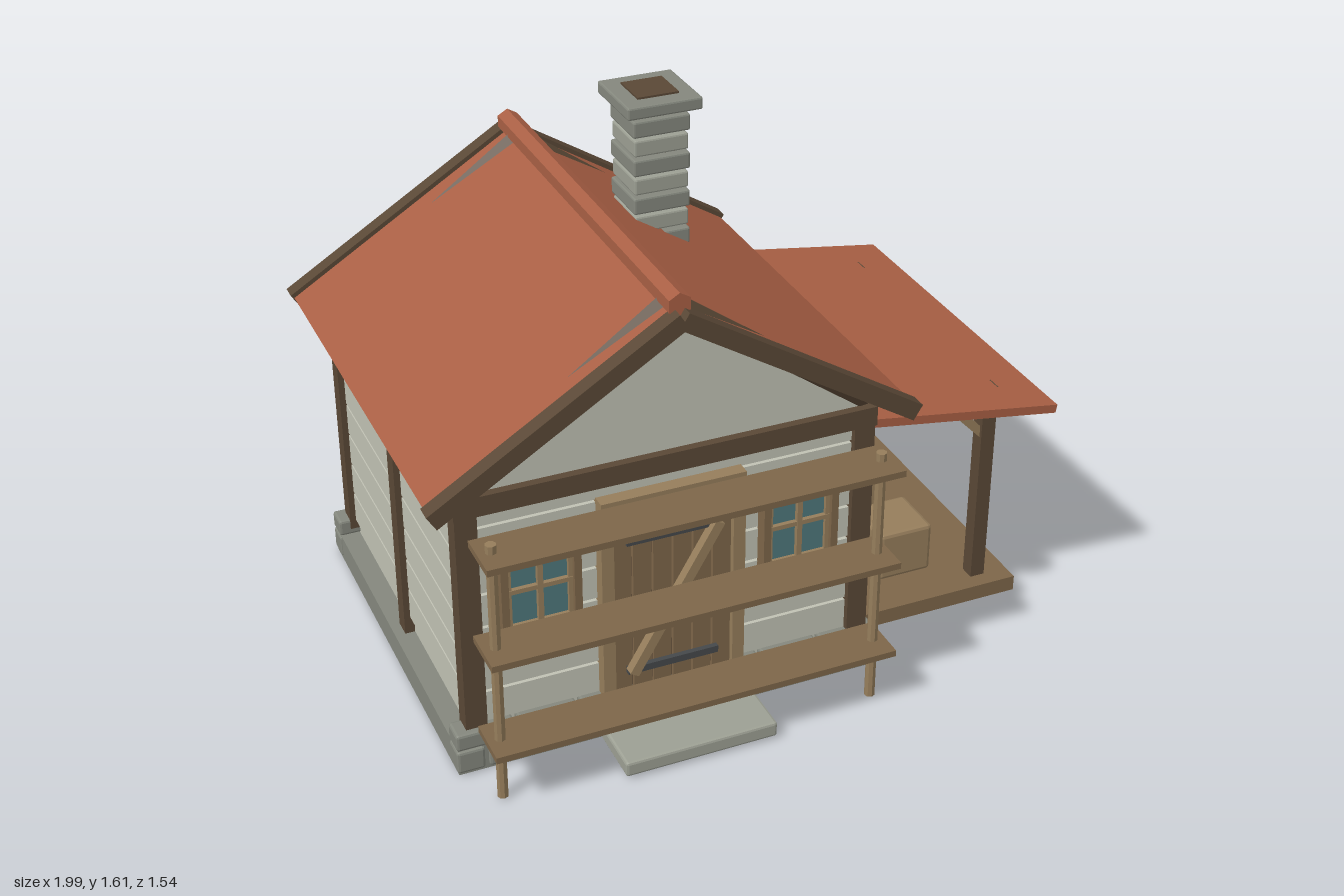
import * as THREE from 'three';
import { RoundedBoxGeometry } from 'three/addons/geometries/RoundedBoxGeometry.js';

const mat = (color) => new THREE.MeshStandardMaterial({ color, flatShading: true });
const M = {
  roof: mat(0xa85f44), dark: mat(0x5a4836), wood: mat(0x7d6649), tan: mat(0x957d5b),
  wall: mat(0xc0c1b3), stone: mat(0x84877d), pale: mat(0x9c9f93), iron: mat(0x45484a),
  glass: mat(0x4f777c),
};
const CX = -0.265, CZ = -0.065; // centre of the cabin

export function createModel() {
  const root = new THREE.Group();

  const add = (parent, name, geo, material, x = 0, y = 0, z = 0) => {
    const m = new THREE.Mesh(geo, material);
    m.name = name;
    m.position.set(x, y, z);
    parent.add(m);
    return m;
  };
  // Box given by its limits on each axis; bevel > 0 softens the edges
  const box = (parent, name, material, x0, x1, y0, y1, z0, z1, bevel = 0) => {
    const s = [x1 - x0, y1 - y0, z1 - z0];
    const g = bevel ? new RoundedBoxGeometry(...s, 1, bevel) : new THREE.BoxGeometry(...s);
    return add(parent, name, g, material, (x0 + x1) / 2, (y0 + y1) / 2, (z0 + z1) / 2);
  };
  // Bar between two points of an xy plane, with thickness t and depth d along z
  const bar = (parent, name, material, [x0, y0], [x1, y1], t, d, z) => {
    const g = new THREE.BoxGeometry(Math.hypot(x1 - x0, y1 - y0), t, d);
    const m = add(parent, name, g, material, (x0 + x1) / 2, (y0 + y1) / 2, z);
    m.rotation.z = Math.atan2(y1 - y0, x1 - x0);
    return m;
  };
  const group = (name) => {
    const g = new THREE.Group();
    g.name = name;
    root.add(g);
    return g;
  };

  // Foundation slab, with two staggered stone rows at front and back
  const base = group('foundation');
  box(base, 'slab', M.stone, -0.925, 0.395, 0, 0.085, -0.69, 0.555);
  for (const z of [0.527, -0.66]) {
    for (let i = 0; i < 7; i++) {
      const x = -0.93 + i * 0.19;
      box(base, 'upperStone', M.stone, x, x + 0.178, 0.088, 0.142, z - 0.038, z + 0.038, 0.008);
    }
    for (let i = 0; i < 8; i++) {
      const x0 = Math.max(-0.93, -1.025 + i * 0.19), x1 = Math.min(0.4, -0.847 + i * 0.19);
      box(base, 'lowerStone', M.stone, x0, x1, 0.01, 0.083, z - 0.038, z + 0.038, 0.008);
    }
  }
  box(root, 'doorstep', M.pale, -0.5, -0.03, 0.01, 0.058, 0.54, 0.765, 0.008);

  // Walls: plain core wrapped by horizontal boards
  const walls = group('walls');
  box(walls, 'wallCore', M.wall, -0.863, 0.333, 0.05, 0.9, -0.643, 0.513);
  for (let i = 0; i < 7; i++) {
    const y = 0.141 + i * 0.109;
    box(walls, 'sidingBoard', M.wall, -0.875, 0.345, y, y + 0.1, -0.655, 0.525);
  }
  const gable = new THREE.Shape([[-0.61, 0.89], [0.61, 0.89], [0, 1.335]].map((p) => new THREE.Vector2(...p)));
  for (const z of [0.485, -0.655]) {
    add(walls, 'gable', new THREE.ExtrudeGeometry(gable, { depth: 0.04, bevelEnabled: false }), M.wall, CX, 0, z);
  }

  // Timber frame: corner and middle posts, end beams, gable rafters
  const frame = group('timberFrame');
  for (const s of [-1, 1]) {
    const x = CX + s * 0.597;
    for (const z of [0.515, -0.067, -0.648]) {
      box(frame, 'wallPost', M.dark, x - 0.032, x + 0.032, z === -0.067 ? 0.085 : 0.11, 0.895, z - 0.029, z + 0.029);
    }
    for (const z of [0.515, -0.655]) {
      const a = [CX, 1.352], b = [CX + s * 0.6, 0.92];
      const len = Math.hypot(b[0] - a[0], b[1] - a[1]);
      const r = add(frame, 'gableRafter', new THREE.CylinderGeometry(0.034, 0.034, len, 4), M.dark,
        (a[0] + b[0]) / 2, (a[1] + b[1]) / 2, z);
      r.rotation.z = Math.atan2(b[1] - a[1], b[0] - a[0]) - Math.PI / 2;
    }
  }
  for (const z of [0.517, -0.648]) box(frame, 'endBeam', M.dark, -0.897, 0.367, 0.842, 0.903, z - 0.033, z + 0.033);

  // Main roof: slopes, barge boards, rafters and ridge cap
  const roof = group('roof');
  for (const s of [-1, 1]) {
    bar(roof, 'roofSlope', M.roof, [CX, 1.347], [CX + s * 0.71, 0.908], 0.03, 1.34, -0.07);
    for (const z of [0.608, -0.745]) {
      bar(roof, 'bargeBoard', M.dark, [CX, 1.35], [CX + s * 0.715, 0.908], 0.052, 0.05, z);
    }
    for (const z of [0.215, -0.07, -0.36]) {
      bar(roof, 'rafter', M.tan, [CX, 1.318], [CX + s * 0.67, 0.904], 0.03, 0.033, z);
    }
  }
  const ridge = add(roof, 'ridgeCap', new THREE.CylinderGeometry(0.036, 0.036, 1.34, 6), M.roof, CX, 1.383, -0.07);
  ridge.rotation.x = Math.PI / 2;

  // Chimney of stacked stone courses
  const chimney = group('chimney');
  chimney.position.set(0.025, 0, -0.292);
  box(chimney, 'flue', M.dark, -0.065, 0.065, 1.08, 1.612, -0.065, 0.065);
  for (let i = 0; i < 7; i++) {
    const y = 1.13 + i * 0.061, w = i % 2 ? 0.086 : 0.09;
    box(chimney, 'course', i % 2 ? M.pale : M.stone, -w, w, y, y + 0.052, -w - 0.003, w + 0.003, 0.006);
  }
  box(chimney, 'chimneyCap', M.stone, -0.118, 0.118, 1.567, 1.606, -0.12, 0.12, 0.006);

  // Windows: built facing +z with the wall surface at z = 0
  const addWindow = (w, h, x, y, z, turn = 0) => {
    const g = group('window');
    g.position.set(x, y, z);
    g.rotation.y = turn;
    const a = w / 2, b = h / 2;
    box(g, 'glass', M.glass, -a + 0.01, a - 0.01, -b + 0.01, b - 0.01, 0, 0.018);
    for (const s of [-1, 1]) {
      const sx = s * (a - 0.011), sy = s * (b - 0.011);
      box(g, 'windowJamb', M.wood, sx - 0.011, sx + 0.011, -b, b, 0, 0.045);
      box(g, 'windowRail', M.wood, -a, a, sy - 0.011, sy + 0.011, 0, 0.045);
      const ix = s * (a - 0.028), iy = s * (b - 0.027);
      box(g, 'sashStile', M.tan, ix - 0.006, ix + 0.006, -b + 0.02, b - 0.02, 0, 0.03);
      box(g, 'sashRail', M.tan, -a + 0.02, a - 0.02, iy - 0.006, iy + 0.006, 0, 0.03);
    }
    box(g, 'mullion', M.tan, -0.008, 0.008, -b + 0.02, b - 0.02, 0, 0.034);
    box(g, 'crossBar', M.tan, -a + 0.02, a - 0.02, -0.007, 0.007, 0, 0.032);
    box(g, 'sill', M.pale, -a - 0.027, a + 0.027, -b - 0.028, -b - 0.006, 0, 0.097, 0.005);
  };
  for (const x of [-0.662, 0.127]) addWindow(0.235, 0.29, x, 0.575, 0.523);
  addWindow(0.295, 0.295, 0.345, 0.568, -0.245, Math.PI / 2);

  // Plank door with frame, hinges, brace and knob
  const door = group('door');
  for (const x of [-0.485, -0.085]) box(door, 'doorJamb', M.tan, x, x + 0.037, 0.09, 0.8, 0.51, 0.565);
  box(door, 'doorLintel', M.tan, -0.485, -0.048, 0.745, 0.8, 0.51, 0.567);
  box(door, 'doorBacking', M.dark, -0.45, -0.083, 0.09, 0.745, 0.51, 0.537);
  for (let i = 0; i < 6; i++) {
    const x = -0.447 + i * 0.061;
    box(door, 'doorPlank', M.wood, x, x + 0.055, 0.09, 0.742, 0.52, 0.55);
  }
  for (const y of [0.215, 0.655]) box(door, 'hinge', M.iron, -0.41, -0.13, y - 0.011, y + 0.011, 0.55, 0.566);
  bar(door, 'doorBrace', M.tan, [-0.4, 0.215], [-0.135, 0.665], 0.03, 0.03, 0.572);
  add(door, 'knob', new THREE.SphereGeometry(0.015, 8, 6), M.iron, -0.163, 0.435, 0.565);

  // Front rail: two round poles carrying three flat boards
  const rail = group('frontRail');
  for (const x of [-0.842, 0.307]) {
    add(rail, 'railPole', new THREE.CylinderGeometry(0.016, 0.016, 0.84, 8), M.tan, x, 0.425, 0.69);
  }
  for (const y of [0.195, 0.502, 0.81]) box(rail, 'railBoard', M.wood, -0.88, 0.345, y - 0.01, y + 0.01, 0.615, 0.768);

  // Side porch: deck, posts, braces, lean-to roof and crates
  const porch = group('porch');
  box(porch, 'deck', M.wood, 0.395, 0.947, 0.04, 0.09, -0.575, 0.437);
  bar(porch, 'leanToRoof', M.roof, [0.34, 0.832], [0.99, 0.733], 0.027, 1.172, -0.068);
  for (const z of [0.362, -0.497]) {
    box(porch, 'porchPost', M.dark, 0.82, 0.867, 0.005, 0.766, z - 0.024, z + 0.024);
    bar(porch, 'porchBrace', M.tan, [0.66, 0.778], [0.835, 0.6], 0.027, 0.027, z);
  }
  for (const z of [0.2, -0.125, -0.39]) {
    box(porch, 'crate', M.tan, 0.545, 0.725, 0.09, 0.255, z - 0.094, z + 0.094, 0.012);
  }
  return root;
}
